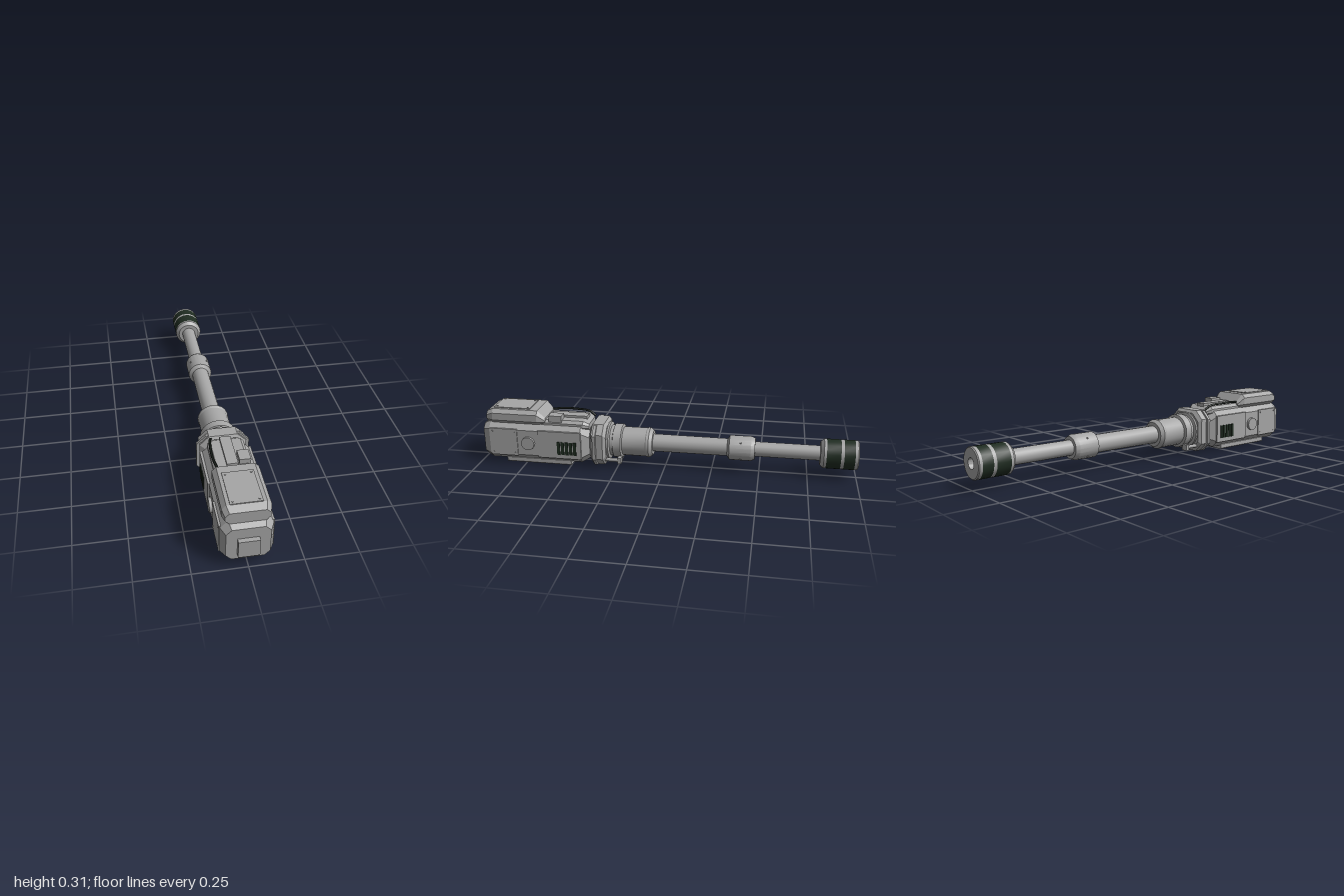
import * as THREE from 'three';
import { toCreasedNormals } from 'three/addons/utils/BufferGeometryUtils.js';

const AXIS = 0.125; // height of the barrel axis

export function createModel() {
  const model = new THREE.Group();
  model.name = 'cannon';
  const mat = (name, color) => {
    const m = new THREE.MeshStandardMaterial({ color });
    m.name = name;
    return m;
  };
  const grey = mat('gunmetal grey', 0xa6a6a6);
  const green = mat('dark green', 0x1f2c21);
  const black = mat('cable black', 0x141a16);

  const add = (name, geometry, material = grey) => {
    const mesh = new THREE.Mesh(geometry, material);
    mesh.name = name;
    model.add(mesh);
    return mesh;
  };

  // Box given by its limits on each axis
  const box = (name, x0, x1, y0, y1, z0, z1, material) =>
    add(name, new THREE.BoxGeometry(x1 - x0, y1 - y0, z1 - z0), material)
      .position.set((x0 + x1) / 2, (y0 + y1) / 2, (z0 + z1) / 2);

  // Chamfered sections [z, halfWidth, bottom, top, chamfer], listed from back to front
  const loft = (name, sections, material) => {
    const rings = sections.map(([z, w, b, t, c]) => [
      [w - c, b, z], [w, b + c, z], [w, t - c, z], [w - c, t, z],
      [c - w, t, z], [-w, t - c, z], [-w, b + c, z], [c - w, b, z],
    ]);
    const pos = [];
    const tri = (...corners) => corners.forEach((p) => pos.push(...p));
    for (let s = 0; s + 1 < rings.length; s++) {
      for (let i = 0; i < 8; i++) {
        const j = (i + 1) % 8, a = rings[s], b = rings[s + 1];
        tri(a[i], a[j], b[j]);
        tri(a[i], b[j], b[i]);
      }
    }
    const back = rings[0], front = rings[rings.length - 1];
    for (let i = 1; i < 7; i++) {
      tri(front[0], front[i], front[i + 1]);
      tri(back[0], back[i + 1], back[i]);
    }
    const g = new THREE.BufferGeometry();
    g.setAttribute('position', new THREE.Float32BufferAttribute(pos, 3));
    g.computeVertexNormals();
    return add(name, g, material);
  };

  // Turned part around the barrel axis: points [radius, z] from front to muzzle
  const turned = (name, points, material, sides = 20) => {
    const profile = points.map(([r, z]) => new THREE.Vector2(r, -z));
    const g = new THREE.LatheGeometry(profile, sides).rotateX(-Math.PI / 2);
    add(name, toCreasedNormals(g, 0.45), material).position.y = AXIS;
  };

  // Receiver housing with bevelled ends
  loft('housing', [
    [0.39, 0.085, 0.045, 0.19, 0.03],
    [0.44, 0.117, 0.02, 0.23, 0.035],
    [0.94, 0.117, 0.02, 0.23, 0.035],
    [0.978, 0.098, 0.037, 0.21, 0.025],
  ]);
  box('frontPlate', -0.048, 0.048, 0.065, 0.155, 0.97, 1.0);
  loft('bottomPlate', [
    [0.5, 0.092, 0, 0.03, 0.004],
    [0.86, 0.092, 0, 0.03, 0.004],
  ]);

  // Upper housing with lid and bolts
  loft('upperHousing', [
    [0.635, 0.09, 0.225, 0.258, 0.012],
    [0.675, 0.108, 0.222, 0.3, 0.02],
    [0.92, 0.108, 0.222, 0.3, 0.02],
    [0.955, 0.098, 0.226, 0.284, 0.018],
  ]);
  box('lid', -0.072, 0.072, 0.295, 0.304, 0.72, 0.92);
  for (const x of [-0.058, 0.058]) {
    for (const z of [0.735, 0.905]) {
      add('lidBolt', new THREE.CylinderGeometry(0.005, 0.005, 0.006, 8)).position.set(x, 0.304, z);
    }
  }

  // Rear deck and its equipment
  loft('rearDeck', [
    [0.4, 0.07, 0.2, 0.232, 0.01],
    [0.43, 0.088, 0.2, 0.25, 0.015],
    [0.66, 0.088, 0.2, 0.25, 0.015],
  ]);
  box('deckRail', -0.027, 0.026, 0.24, 0.262, 0.42, 0.62);
  box('deckBox', 0.032, 0.086, 0.24, 0.275, 0.545, 0.615);
  const path = new THREE.CatmullRomCurve3([
    [-0.064, 0.235, 0.395], [-0.074, 0.256, 0.43], [-0.083, 0.262, 0.51],
    [-0.083, 0.262, 0.58], [-0.07, 0.256, 0.65],
  ].map((p) => new THREE.Vector3(...p)));
  add('cable', new THREE.TubeGeometry(path, 24, 0.006, 8), black);

  // Side panels, discs, bolts, vents and support rods, mirrored
  for (const s of [-1, 1]) {
    const side = (name, x0, x1, ...rest) =>
      box(name, Math.min(s * x0, s * x1), Math.max(s * x0, s * x1), ...rest);
    side('frontSidePanel', 0.11, 0.122, 0.05, 0.2, 0.785, 0.935);
    side('rearSidePanel', 0.11, 0.124, 0.05, 0.2, 0.435, 0.67);
    const disc = add('sideDisc', new THREE.CylinderGeometry(0.036, 0.036, 0.02, 16));
    disc.rotation.z = Math.PI / 2;
    disc.position.set(s * 0.121, 0.125, 0.725);
    for (const y of [0.065, 0.185]) {
      for (const z of [0.8, 0.92]) {
        const bolt = add('panelBolt', new THREE.CylinderGeometry(0.004, 0.004, 0.006, 8));
        bolt.rotation.z = Math.PI / 2;
        bolt.position.set(s * 0.122, y, z);
      }
    }
    for (let i = 0; i < 5; i++) {
      const z = 0.468 + i * 0.022;
      side('ventSlit', 0.122, 0.128, 0.073, 0.145, z - 0.008, z + 0.008, green);
    }
    const rod = add('supportRod', new THREE.CylinderGeometry(0.01, 0.01, 0.12, 10));
    rod.rotation.x = Math.PI / 2;
    rod.position.set(s * 0.078, 0.043, 0.29);
    side('rodBlock', 0.062, 0.094, 0.028, 0.06, 0.225, 0.245);
  }

  // Collar joining housing and barrel
  loft('flange', [
    [0.355, 0.13, 0.012, 0.235, 0.045],
    [0.371, 0.13, 0.012, 0.235, 0.045],
  ]);
  loft('collar', [
    [0.305, 0.102, 0.025, 0.222, 0.045],
    [0.32, 0.115, 0.01, 0.237, 0.045],
    [0.38, 0.115, 0.01, 0.237, 0.045],
    [0.395, 0.09, 0.035, 0.21, 0.035],
  ]);
  turned('barrelSleeve', [
    [0.1, 0.32], [0.1, 0.295], [0.084, 0.29], [0.084, 0.275], [0.091, 0.272], [0.091, 0.23],
    [0.077, 0.225], [0.077, 0.1], [0.08, 0.095], [0.08, 0.082], [0.066, 0.064], [0, 0.064],
  ]);

  // Stepped barrel
  turned('barrel', [[0.047, 0.08], [0.046, -0.35], [0.039, -0.36], [0.039, -0.83]]);
  turned('barrelBand', [
    [0.046, -0.33], [0.065, -0.342], [0.065, -0.455], [0.056, -0.475], [0.039, -0.475],
  ]);
  for (let i = 0; i < 4; i++) {
    const a = Math.PI / 4 + i * Math.PI / 2;
    const bolt = add('bandBolt', new THREE.SphereGeometry(0.005, 8, 6));
    bolt.position.set(0.064 * Math.cos(a), AXIS + 0.064 * Math.sin(a), -0.4);
  }

  // Muzzle brake with dark bands and an open bore
  const R = 0.077;
  turned('muzzleRear', [[0.039, -0.808], [0.06, -0.808], [R, -0.825], [R, -0.838]]);
  turned('muzzleDarkBand', [[R, -0.838], [R, -0.91]], green);
  turned('muzzleRing', [[R, -0.91], [R, -0.926]]);
  turned('muzzleDarkBand', [[R, -0.926], [R, -0.98]], green);
  turned('muzzleTip', [[R, -0.98], [R, -0.995], [0.072, -1], [0.027, -1], [0.027, -0.9], [0, -0.9]]);

  return model;
}
